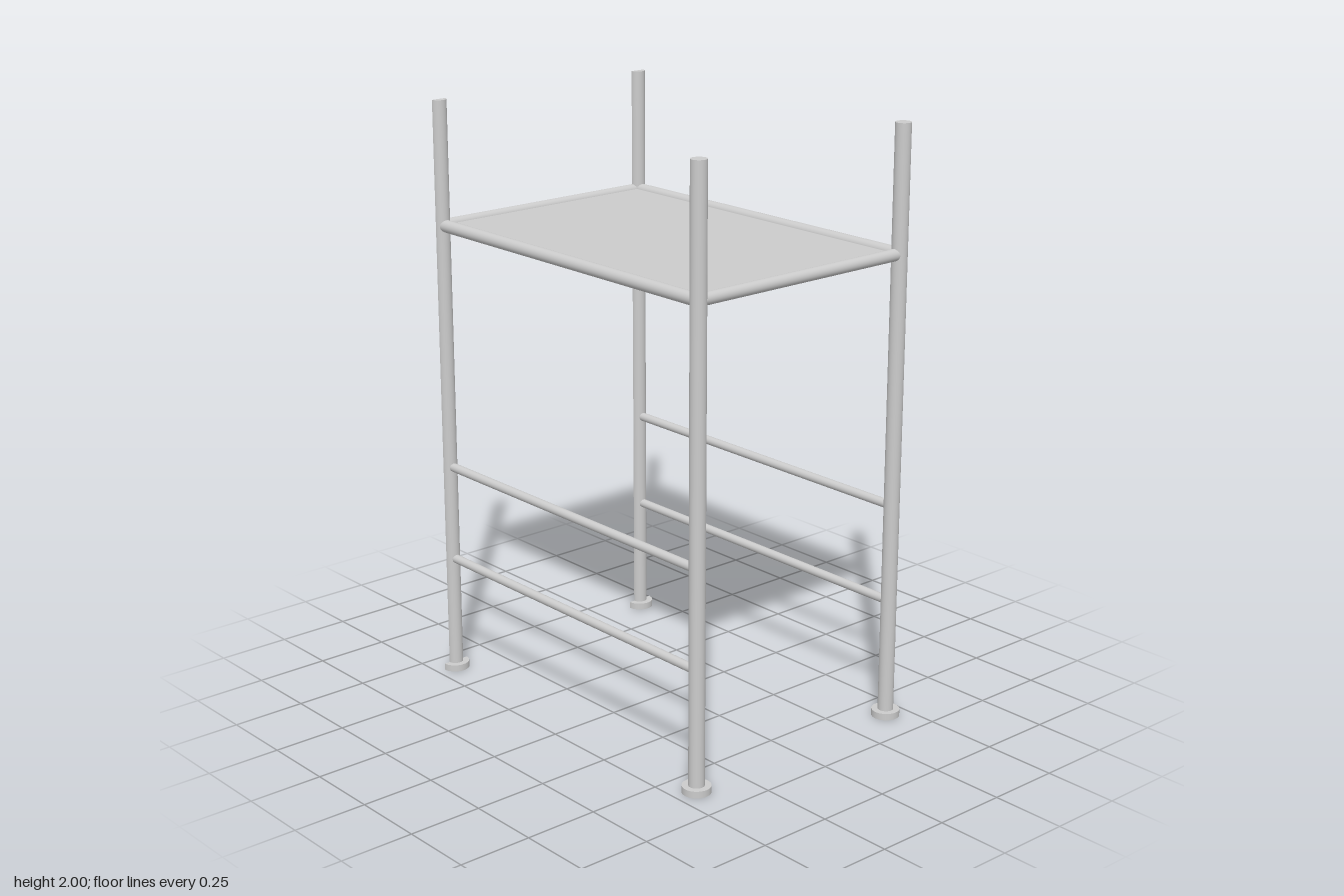
import * as THREE from 'three';

const CUT_X = -0.655;  // plane where the frame is cut in half
const POST_X = 0.608;
const POST_Z = 0.423;
const SHELF_Y = 1.582;

const material = new THREE.MeshStandardMaterial({ color: 0xcccccc, side: THREE.DoubleSide });

// Upright cylinder; a half one keeps only its +x side and is open at the cut
function rod(name, radius, length, half = false) {
  const geometry = new THREE.CylinderGeometry(
    radius, radius, length, half ? 16 : 32, 1, false, 0, half ? Math.PI : Math.PI * 2);
  const mesh = new THREE.Mesh(geometry, material);
  mesh.name = name;
  return mesh;
}

// Post standing on a round foot
function makePost(name, x, z, half) {
  const post = new THREE.Group();
  post.name = name;
  const tube = rod('postTube', 0.026, 1.98, half);
  tube.position.y = 1.01;
  const foot = rod('foot', 0.047, 0.023, half);
  foot.position.y = 0.0115;
  post.add(tube, foot);
  post.position.set(x, 0, z);
  return post;
}

export function createModel() {
  const model = new THREE.Group();
  model.name = 'shelfFrame';
  const span = POST_X - CUT_X;
  const midX = (POST_X + CUT_X) / 2;

  for (const [side, z] of [['front', POST_Z], ['back', -POST_Z]]) {
    // Full post on the left, half post on the right
    model.add(makePost(side + 'LeftPost', POST_X, z, false));
    model.add(makePost(side + 'RightHalfPost', CUT_X, z, true));

    // Long rails: shelf rail and two thinner braces
    for (const [name, y, radius] of [
      ['ShelfRail', SHELF_Y, 0.021], ['UpperBrace', 0.743, 0.015], ['LowerBrace', 0.41, 0.015]]) {
      const rail = rod(side + name, radius, span);
      rail.rotation.z = Math.PI / 2;
      rail.position.set(midX, y, z);
      model.add(rail);
    }
  }

  // Short rails at the shelf ends
  for (const [name, x, half] of [['leftEndRail', POST_X, false], ['rightHalfEndRail', CUT_X, true]]) {
    const rail = rod(name, 0.02, POST_Z * 2, half);
    rail.rotation.x = Math.PI / 2;
    rail.position.set(x, SHELF_Y, 0);
    model.add(rail);
  }

  // Thin shelf panel
  const panel = new THREE.Mesh(new THREE.BoxGeometry(span, 0.01, POST_Z * 2), material);
  panel.name = 'shelfPanel';
  panel.position.set(midX, SHELF_Y, 0);
  model.add(panel);

  return model;
}
